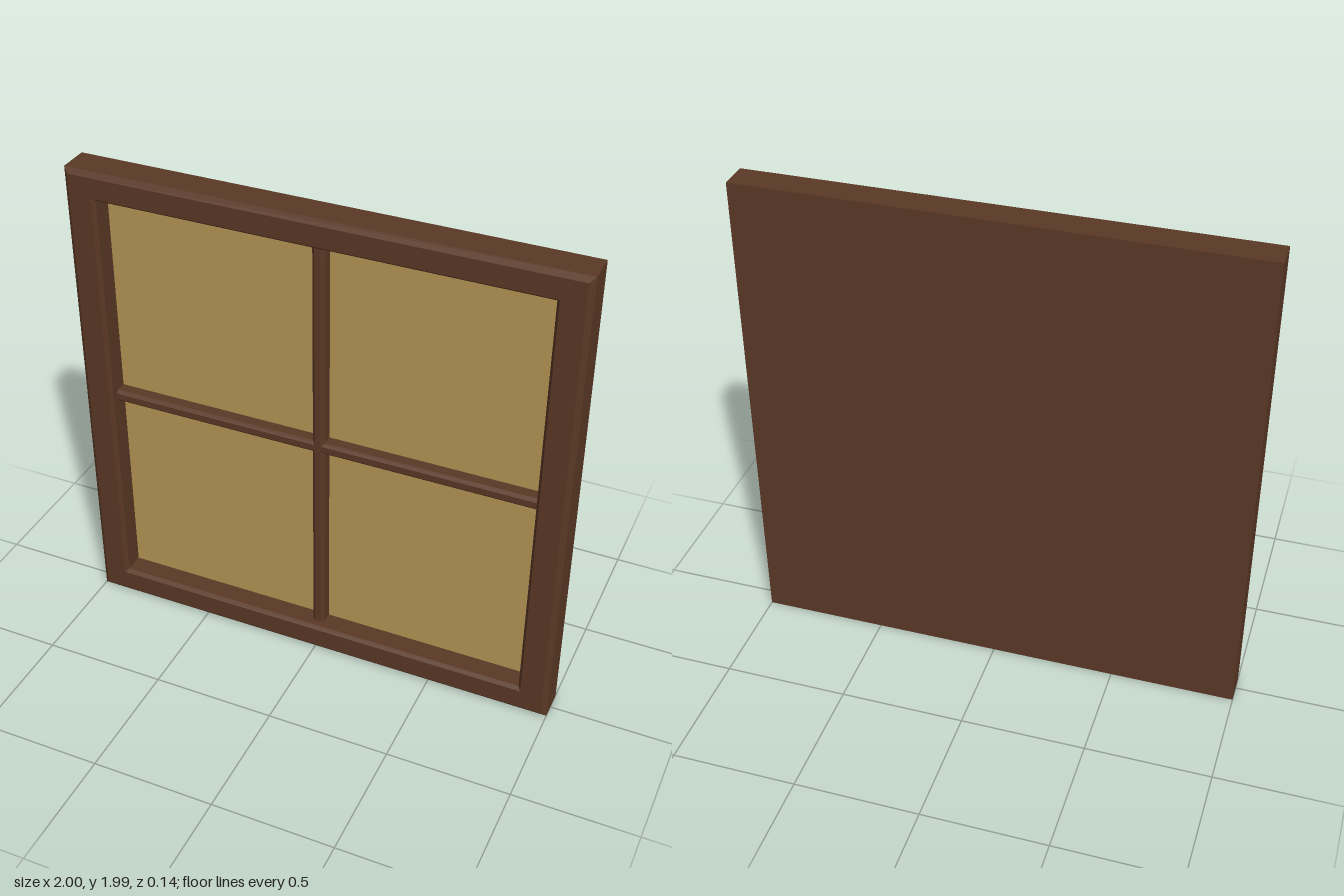
import * as THREE from 'three';

const CENTER_Y = 0.9925;
const PANE_Z = -0.025;

// Skin between successive rectangles [half width, half height, z], flat shaded
function rectangleLoft(rings) {
  const pos = [];
  const corner = ([hx, hy, z], i) => [
    [-hx, -hy, z], [hx, -hy, z], [hx, hy, z], [-hx, hy, z],
  ][i % 4];
  for (let r = 0; r < rings.length - 1; r++) {
    for (let i = 0; i < 4; i++) {
      const a = corner(rings[r], i), b = corner(rings[r], i + 1);
      const c = corner(rings[r + 1], i + 1), d = corner(rings[r + 1], i);
      pos.push(...a, ...b, ...c, ...a, ...c, ...d);
    }
  }
  const geo = new THREE.BufferGeometry();
  geo.setAttribute('position', new THREE.Float32BufferAttribute(pos, 3));
  geo.computeVertexNormals();
  return geo;
}

// Bar with chamfered front edges, running along y
function barGeometry(length) {
  const w = 0.025, c = 0.012, front = 0.03;
  const shape = new THREE.Shape([
    [-w, -PANE_Z], [w, -PANE_Z], [w, -front + c], [w - c, -front], [-w + c, -front], [-w, -front + c],
  ].map(([x, y]) => new THREE.Vector2(x, y)));
  const geo = new THREE.ExtrudeGeometry(shape, { depth: length, bevelEnabled: false });
  geo.translate(0, 0, -length / 2);
  geo.rotateX(-Math.PI / 2); // profile's -y becomes +z
  return geo;
}

export function createModel() {
  const wood = new THREE.MeshStandardMaterial({ name: 'dark wood', color: 0x5a3825 });
  const amber = new THREE.MeshStandardMaterial({ name: 'amber pane', color: 0xb39353 });
  const model = new THREE.Group();
  model.name = 'window';

  const add = (name, geo, mat, x = 0, y = CENTER_Y, z = 0) => {
    const mesh = new THREE.Mesh(geo, mat);
    mesh.name = name;
    mesh.position.set(x, y, z);
    model.add(mesh);
    return mesh;
  };

  // Frame: outer side, outer chamfer, front face, inner chamfer, inner wall
  add('frame', rectangleLoft([
    [1, 0.9925, -0.07],
    [1, 0.9925, 0.053],
    [0.98, 0.9725, 0.07],
    [0.889, 0.889, 0.07],
    [0.877, 0.877, 0.055],
    [0.877, 0.877, PANE_Z],
  ]), wood);

  // Closed back
  const back = add('backPanel', new THREE.PlaneGeometry(2, 1.985), wood, 0, CENTER_Y, -0.07);
  back.rotation.y = Math.PI;

  // Four panes between the glazing bars
  const size = 0.86;
  for (const sx of [-1, 1]) {
    for (const sy of [-1, 1]) {
      add('pane', new THREE.BoxGeometry(size, size, 0.008), amber,
        sx * 0.447, CENTER_Y + sy * 0.447, PANE_Z - 0.004);
    }
  }

  // Crossed glazing bars
  add('verticalBar', barGeometry(1.754), wood);
  add('horizontalBar', barGeometry(1.754), wood).rotation.z = Math.PI / 2;

  return model;
}
